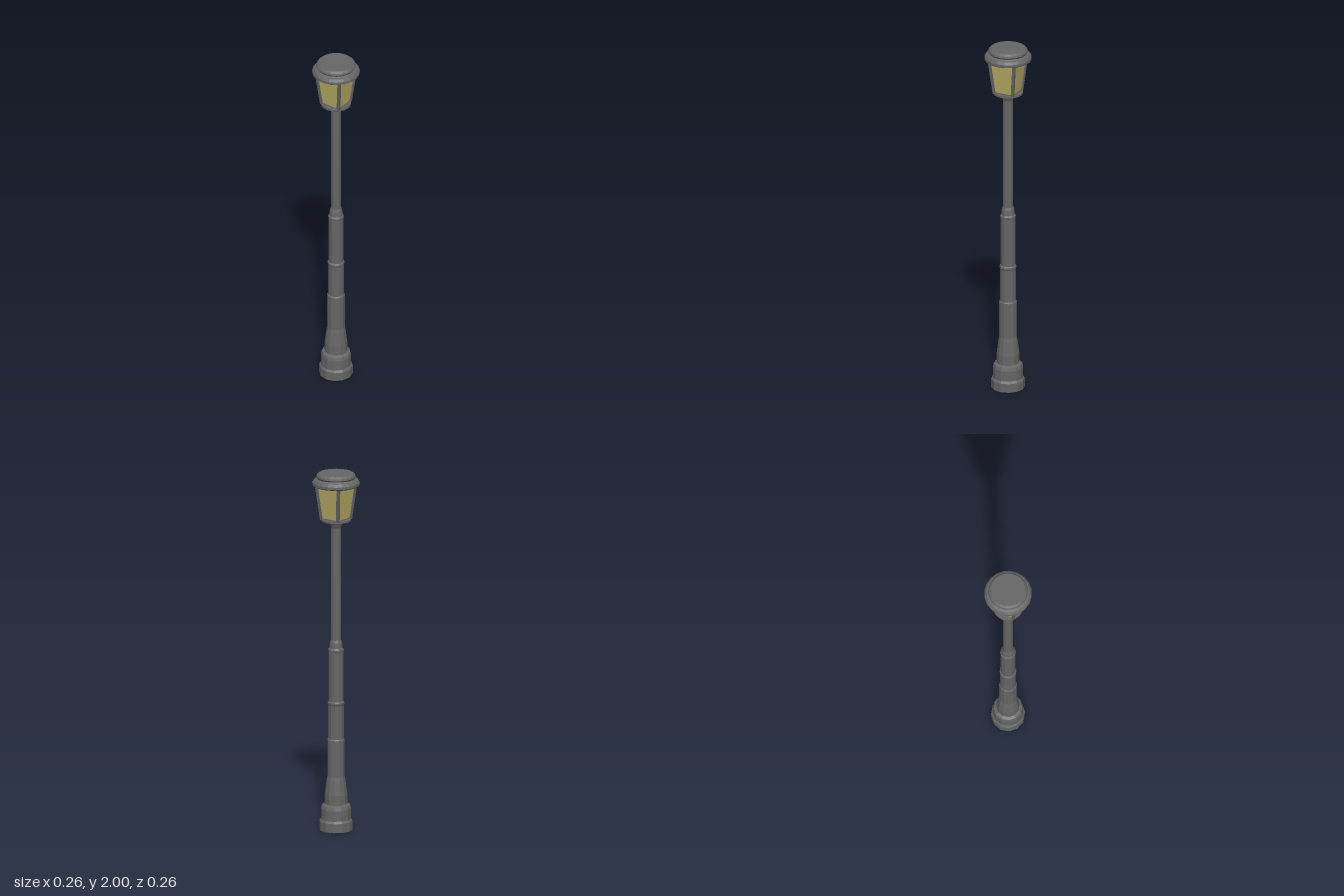
import * as THREE from 'three';

const metal = new THREE.MeshStandardMaterial({ color: 0x666666, flatShading: true });
const glass = new THREE.MeshStandardMaterial({ color: 0xb8ab66, flatShading: true });

// Turned part from [radius, height] pairs, bottom to top
function turned(name, points, sides) {
  const profile = points.map(([r, y]) => new THREE.Vector2(r, y));
  const mesh = new THREE.Mesh(new THREE.LatheGeometry(profile, sides), metal);
  mesh.name = name;
  return mesh;
}

// Box whose bottom and top faces are centred on two given points
function slantedBar(name, a, b, width, depth) {
  const geo = new THREE.BoxGeometry(width, 1, depth);
  const pos = geo.attributes.position;
  for (let i = 0; i < pos.count; i++) {
    const end = pos.getY(i) < 0 ? a : b;
    pos.setXYZ(i, pos.getX(i) + end[0], end[1], pos.getZ(i) + end[2]);
  }
  const mesh = new THREE.Mesh(geo, metal);
  mesh.name = name;
  return mesh;
}

export function createModel() {
  const model = new THREE.Group();
  model.name = 'streetLamp';

  // Stepped foot
  model.add(turned('base', [
    [0, 0], [0.092, 0], [0.092, 0.05], [0.083, 0.062], [0.083, 0.12],
    [0.078, 0.138], [0.062, 0.146], [0.062, 0.2], [0.052, 0.28], [0.048, 0.3],
  ], 12));

  // Thick lower column with collars
  model.add(turned('lowerColumn', [
    [0.048, 0.3], [0.048, 0.505], [0.043, 0.512], [0.043, 0.7], [0.046, 0.705],
    [0.046, 0.715], [0.04, 0.722], [0.04, 1], [0.043, 1.003], [0.043, 1.012],
    [0.037, 1.02], [0.034, 1.05], [0.028, 1.065],
  ], 12));

  // Slim pole flaring out under the lantern
  model.add(turned('upperPole', [
    [0.028, 1.065], [0.028, 1.695], [0.034, 1.71], [0.046, 1.736],
  ], 12));

  // Round tray carrying the lantern
  model.add(turned('lanternTray', [
    [0, 1.734], [0.083, 1.734], [0.083, 1.745], [0, 1.745],
  ], 20));

  // Lantern: tapered square glass, corner posts and bottom rails
  const lantern = new THREE.Group();
  lantern.name = 'lantern';
  const y0 = 1.74, y1 = 1.935, low = 0.055, high = 0.075;
  const paneGeo = new THREE.CylinderGeometry(high * Math.SQRT2, low * Math.SQRT2, y1 - y0, 4, 1, true);
  paneGeo.rotateY(Math.PI / 4).translate(0, (y0 + y1) / 2, 0);
  const panes = new THREE.Mesh(paneGeo, glass);
  panes.name = 'glassPanes';
  lantern.add(panes);
  for (const sx of [-1, 1]) {
    for (const sz of [-1, 1]) {
      lantern.add(slantedBar('cornerPost',
        [sx * low, y0, sz * low], [sx * high, y1, sz * high], 0.015, 0.015));
    }
  }
  for (const s of [-1, 1]) {
    lantern.add(slantedBar('bottomRail', [0, y0, s * low], [0, y0 + 0.009, s * low], low * 2, 0.01));
    lantern.add(slantedBar('bottomRail', [s * low, y0, 0], [s * low, y0 + 0.009, 0], 0.01, low * 2));
  }
  model.add(lantern);

  // Round roof: brim, groove and flat-topped cap
  model.add(turned('roof', [
    [0, 1.93], [0.122, 1.93], [0.13, 1.936], [0.13, 1.95], [0.12, 1.964],
    [0.106, 1.968], [0.103, 1.972], [0.108, 1.98], [0.106, 1.99], [0.095, 2], [0, 2],
  ], 20));

  return model;
}
